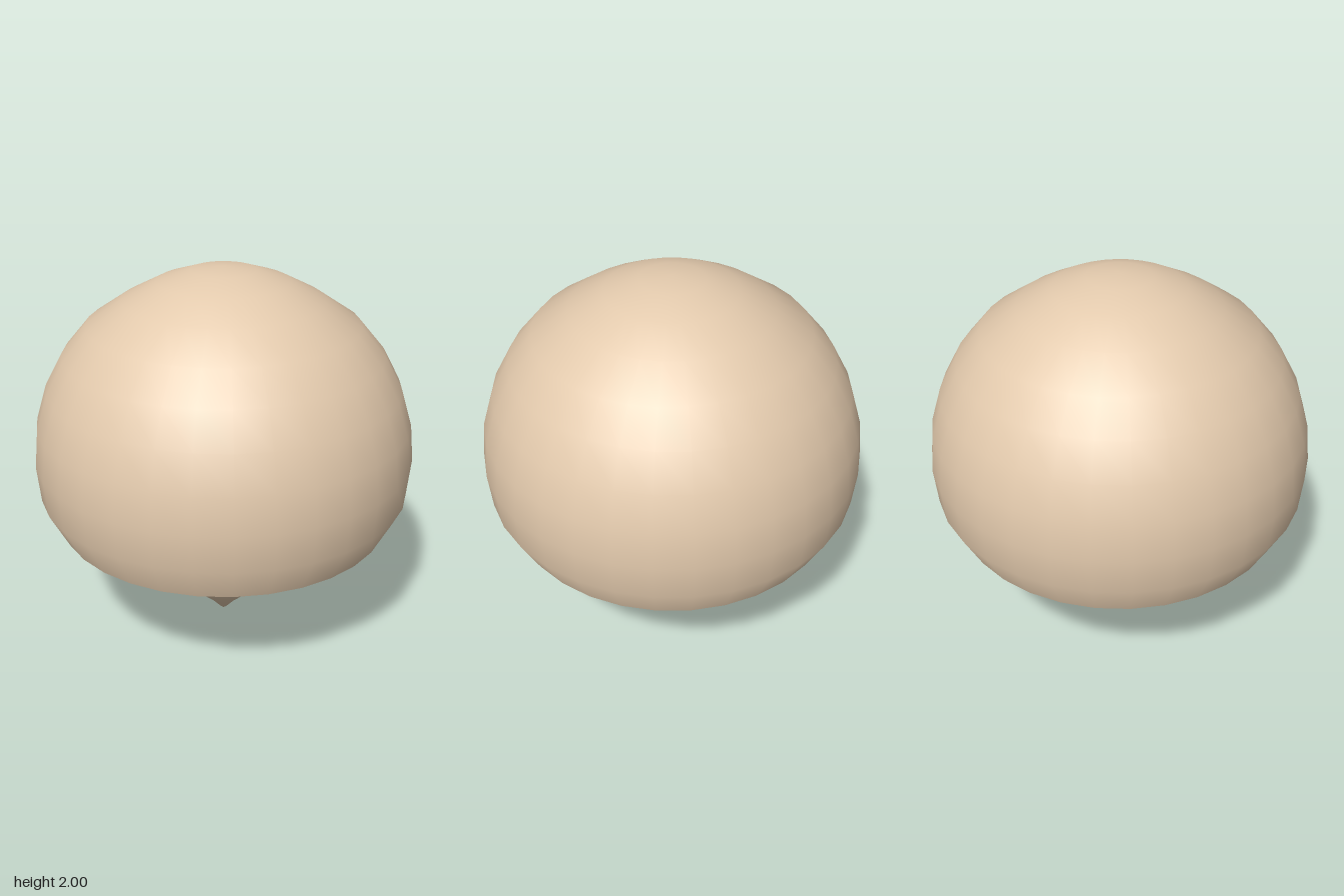
import * as THREE from 'three';

// Radius factor at height y of a unit sphere: slight pinch near the crown,
// strong taper to a point at the bottom.
function pinch(y) {
  if (y > 0.7) return 1 - (y - 0.7) * 0.5;
  if (y < -0.35) return Math.max(0, 1 - (-y - 0.35) * 1.4);
  return 1;
}

export function createModel() {
  const group = new THREE.Group();

  // Round bulb with a pointed base; the soft sphere normals are kept
  const geometry = new THREE.SphereGeometry(1, 32, 16);
  const pos = geometry.attributes.position;
  for (let i = 0; i < pos.count; i++) {
    const f = pinch(pos.getY(i));
    pos.setX(i, pos.getX(i) * f);
    pos.setZ(i, pos.getZ(i) * f);
  }
  geometry.translate(0, 1, 0);

  const bulb = new THREE.Mesh(geometry, new THREE.MeshStandardMaterial({ color: 0xe3caad }));
  bulb.name = 'bulb';
  group.add(bulb);
  return group;
}
